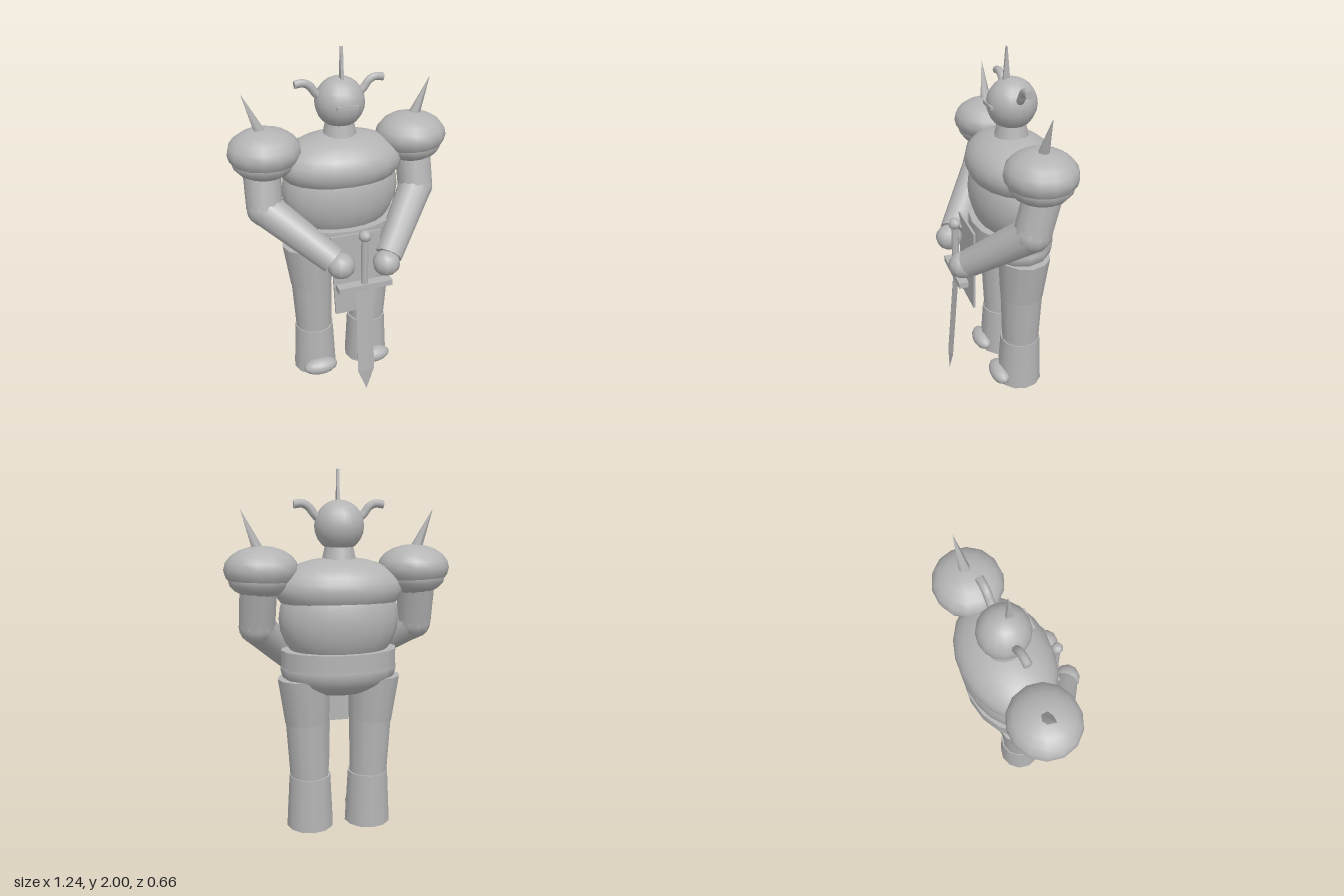
import * as THREE from 'three';

const armourGrey = new THREE.MeshStandardMaterial({ color: 0xb4b4b4 });
const V = (x, y, z) => new THREE.Vector3(x, y, z);
const UP = V(0, 1, 0);
const Z = -0.087; // depth of the body axis

export function createModel() {
  const model = new THREE.Group();

  function add(name, geometry, x = 0, y = 0, z = 0) {
    const mesh = new THREE.Mesh(geometry, armourGrey);
    mesh.name = name;
    mesh.position.set(x, y, z);
    model.add(mesh);
    return mesh;
  }
  // Ellipsoid with radii rx, ry, rz
  function blob(name, x, y, z, rx, ry, rz, w = 16, h = 12) {
    return add(name, new THREE.SphereGeometry(1, w, h).scale(rx, ry, rz), x, y, z);
  }
  // Tapered cylinder from a to b
  function limb(name, a, b, ra, rb, sides = 12) {
    const dir = b.clone().sub(a);
    const mesh = add(name, new THREE.CylinderGeometry(rb, ra, dir.length(), sides));
    mesh.position.copy(a).add(b).multiplyScalar(0.5);
    mesh.quaternion.setFromUnitVectors(UP, dir.normalize());
    return mesh;
  }
  function box(name, w, h, d, x, y, z) {
    return add(name, new THREE.BoxGeometry(w, h, d), x, y, z);
  }

  // Torso
  blob('chest', 0, 1.37, Z, 0.357, 0.17, 0.245, 20, 14);
  blob('belly', 0, 1.21, Z - 0.003, 0.335, 0.3, 0.236, 20, 14);
  add('belt', new THREE.CylinderGeometry(1, 1, 0.097, 16).scale(0.325, 1, 0.23), 0, 0.988, Z);
  blob('hips', 0, 0.93, Z, 0.33, 0.16, 0.225);

  // Head, visor and crest
  limb('neck', V(0, 1.5, Z), V(0, 1.6, Z), 0.1, 0.078, 12);
  blob('head', 0, 1.703, Z, 0.136, 0.138, 0.136);
  box('visor', 0.118, 0.018, 0.025, 0, 1.705, 0.039);
  const crest = new THREE.BoxGeometry(0.016, 0.2, 0.042);
  const p = crest.attributes.position;
  for (let i = 0; i < p.count; i++) if (p.getY(i) > 0) p.setZ(i, p.getZ(i) * 0.15);
  crest.computeVertexNormals();
  add('crest', crest, 0, 1.9, -0.056);

  // Front cloth, narrowing downwards
  const cloth = new THREE.Shape([
    new THREE.Vector2(-0.118, 0.535), new THREE.Vector2(0.118, 0.535),
    new THREE.Vector2(0.145, 1.037), new THREE.Vector2(-0.145, 1.037)]);
  add('frontCloth', new THREE.ExtrudeGeometry(cloth, { depth: 0.013, bevelEnabled: false }), 0, 0, 0.167);

  for (const s of [-1, 1]) {
    const side = s > 0 ? 'left' : 'right';

    // Horn curling outwards, with a closed tip
    const path = new THREE.CatmullRomCurve3([
      V(s * 0.1, 1.73, Z), V(s * 0.136, 1.765, Z), V(s * 0.165, 1.803, Z),
      V(s * 0.2, 1.82, Z), V(s * 0.245, 1.815, Z)]);
    add(side + 'Horn', new THREE.TubeGeometry(path, 10, 0.022, 8));
    const tip = add(side + 'HornTip', new THREE.CircleGeometry(0.022, 8), s * 0.245, 1.815, Z);
    tip.rotation.y = s * Math.PI / 2;

    // Shoulder armour
    blob(side + 'ShoulderPad', s * 0.422, 1.477, Z, 0.2, 0.125, 0.19, 14, 10);
    blob(side + 'ShoulderUnderPad', s * 0.425, 1.425, Z, 0.175, 0.1, 0.168, 14, 10);
    limb(side + 'ShoulderSpike', V(s * 0.428, 1.56, Z), V(s * 0.527, 1.795, Z - 0.006), 0.036, 0, 6);

    // Arm: the left hand rests lower on the sword
    const elbow = V(s * 0.447, 1.165, -0.04);
    const wrist = s > 0 ? V(0.18, 0.888, 0.215) : V(-0.142, 0.92, 0.215);
    limb(side + 'UpperArm', V(s * 0.44, 1.42, -0.105), elbow, 0.102, 0.1);
    blob(side + 'Elbow', elbow.x, elbow.y, elbow.z, 0.1, 0.1, 0.1, 12, 10);
    limb(side + 'Forearm', elbow, wrist, 0.098, 0.078);
    blob(side + 'Hand', s > 0 ? 0.155 : -0.11, s > 0 ? 0.867 : 0.9, 0.25, 0.078, 0.074, 0.077, 10, 8);

    // Leg
    limb(side + 'Thigh', V(s * 0.182, 0.625, -0.09), V(s * 0.198, 0.885, -0.095), 0.125, 0.148);
    limb(side + 'Shin', V(s * 0.172, 0.3, -0.092), V(s * 0.182, 0.628, -0.09), 0.11, 0.122);
    limb(side + 'Boot', V(s * 0.17, 0.004, -0.088), V(s * 0.17, 0.31, -0.092), 0.134, 0.118);
    blob(side + 'Toe', s * 0.174, 0.068, 0.04, 0.107, 0.052, 0.058, 14, 10);
  }

  // Sword held point down
  blob('pommel', 0.025, 1.057, 0.25, 0.036, 0.034, 0.036, 8, 6);
  limb('grip', V(0.025, 0.76, 0.252), V(0.025, 1.05, 0.25), 0.021, 0.021, 8);
  box('crossguard', 0.315, 0.034, 0.054, 0.026, 0.748, 0.252);
  const bladeGeo = new THREE.LatheGeometry([
    new THREE.Vector2(0, -0.695), new THREE.Vector2(1, -0.56), new THREE.Vector2(1, 0)], 4)
    .scale(0.05, 1, 0.015).toNonIndexed();
  bladeGeo.computeVertexNormals();
  const blade = add('blade', bladeGeo, 0.025, 0.745, 0.252);
  blade.rotation.x = -0.09;

  return model;
}
